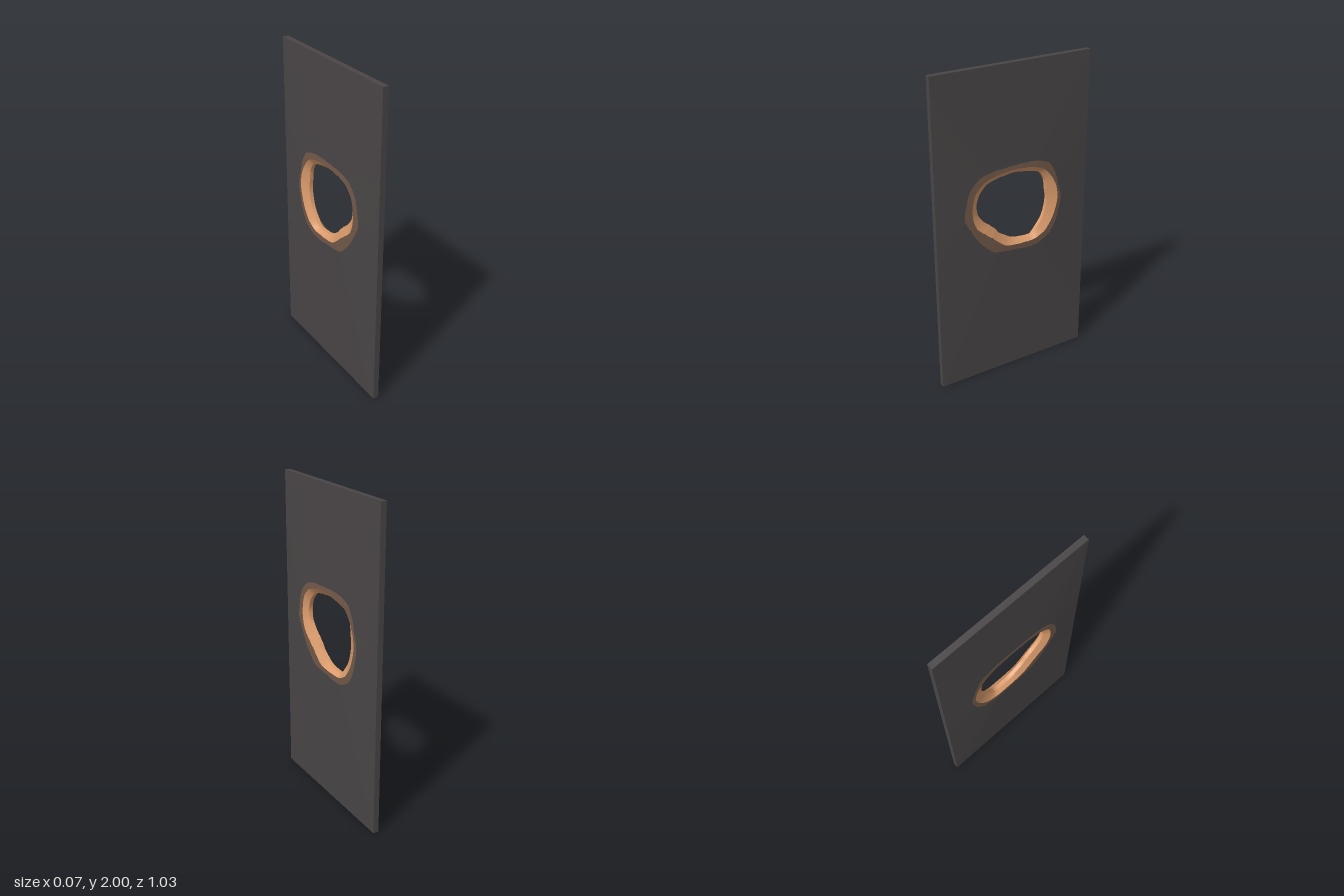
import * as THREE from 'three';

const CENTRE_Y = 1.12, HALF_W = 0.517, STEPS = 72;

// Radii (hundredths) every 15 degrees, counter-clockwise as seen from +x
const HOLE = [23.8, 23.8, 25.6, 26, 23.5, 22.2, 22.2, 22.2, 23.8, 25.9, 26.4, 25.9,
  23.8, 20.4, 17.7, 16.9, 18, 19, 21.2, 23, 25.9, 24.6, 24.3, 23.8];
const GLOW = [30.2, 30.2, 29.6, 29.1, 27, 25.4, 24.9, 25.4, 27, 29.6, 30.7, 29.6,
  28.6, 27, 23.8, 22.2, 22.8, 24.3, 24.3, 25.4, 28, 29.6, 29.6, 29.6];
const SCORCH = [32.8, 31.7, 32.8, 33.9, 31.2, 28.6, 27.5, 28, 30.7, 33.9, 34.9, 33.9,
  33.9, 30.7, 29.6, 29.1, 29.6, 28, 27.5, 29.6, 32.3, 33.9, 33.3, 32.3];

const angleAt = (i) => (i / STEPS) * Math.PI * 2;

// Irregular closed loop around the hole at depth x
function blob(radii, x) {
  const n = radii.length;
  return Array.from({ length: STEPS }, (_, i) => {
    const t = (i / STEPS) * n, k = Math.floor(t + 1e-6), f = Math.max(0, t - k);
    const r = THREE.MathUtils.lerp(radii[k % n], radii[(k + 1) % n], f) / 100;
    const a = angleAt(i);
    return [x, CENTRE_Y + r * Math.sin(a), -r * Math.cos(a)];
  });
}

// Rectangular outline of the panel, hit by the same rays, with exact corners
function outline(x) {
  const loop = Array.from({ length: STEPS }, (_, i) => {
    const c = Math.cos(angleAt(i)), s = Math.sin(angleAt(i));
    const reachY = s > 0 ? 2 - CENTRE_Y : CENTRE_Y;
    const r = Math.min(HALF_W / Math.max(Math.abs(c), 1e-6), reachY / Math.max(Math.abs(s), 1e-6));
    return [x, CENTRE_Y + r * s, -r * c];
  });
  for (const y of [0, 2]) for (const z of [-HALF_W, HALF_W]) {
    const a = (Math.atan2(y - CENTRE_Y, -z) + Math.PI * 2) % (Math.PI * 2);
    loop[Math.round((a / (Math.PI * 2)) * STEPS) % STEPS] = [x, y, z];
  }
  return loop;
}

// Band of quads joining two loops
function band(from, to, flat = false) {
  let geo = new THREE.BufferGeometry();
  geo.setAttribute('position', new THREE.Float32BufferAttribute([...from, ...to].flat(), 3));
  const index = [];
  for (let i = 0; i < STEPS; i++) {
    const j = (i + 1) % STEPS;
    index.push(i, j, STEPS + j, i, STEPS + j, STEPS + i);
  }
  geo.setIndex(index);
  if (flat) geo = geo.toNonIndexed();
  geo.computeVertexNormals();
  return geo;
}

export function createModel() {
  const group = new THREE.Group();
  const material = (name, color) => {
    const m = new THREE.MeshStandardMaterial({ color });
    m.name = name;
    return m;
  };
  const charcoal = material('charcoal', 0x4a4647);
  const scorched = material('scorched brown', 0x72594a);
  const glowing = material('molten orange', 0xdc9c6c);

  const add = (name, geo, mat) => {
    const mesh = new THREE.Mesh(geo, mat);
    mesh.name = name;
    group.add(mesh);
  };

  // Both faces: tapering panel, scorched ring and melted bevel into the hole
  for (const side of [1, -1]) {
    const label = side > 0 ? 'left' : 'right';
    const loops = [outline(0.018 * side), blob(SCORCH, 0.034 * side),
      blob(GLOW, 0.036 * side), blob(HOLE, 0.012 * side)];
    const join = (k) => (side > 0 ? band(loops[k], loops[k + 1]) : band(loops[k + 1], loops[k]));
    add(label + 'PanelFace', join(0), charcoal);
    add(label + 'ScorchedRing', join(1), scorched);
    add(label + 'MeltedBevel', join(2), glowing);
  }

  // Edge of the panel and inner wall of the hole
  add('panelEdge', band(outline(-0.018), outline(0.018), true), charcoal);
  add('holeWall', band(blob(HOLE, 0.012), blob(HOLE, -0.012)), glowing);
  return group;
}
